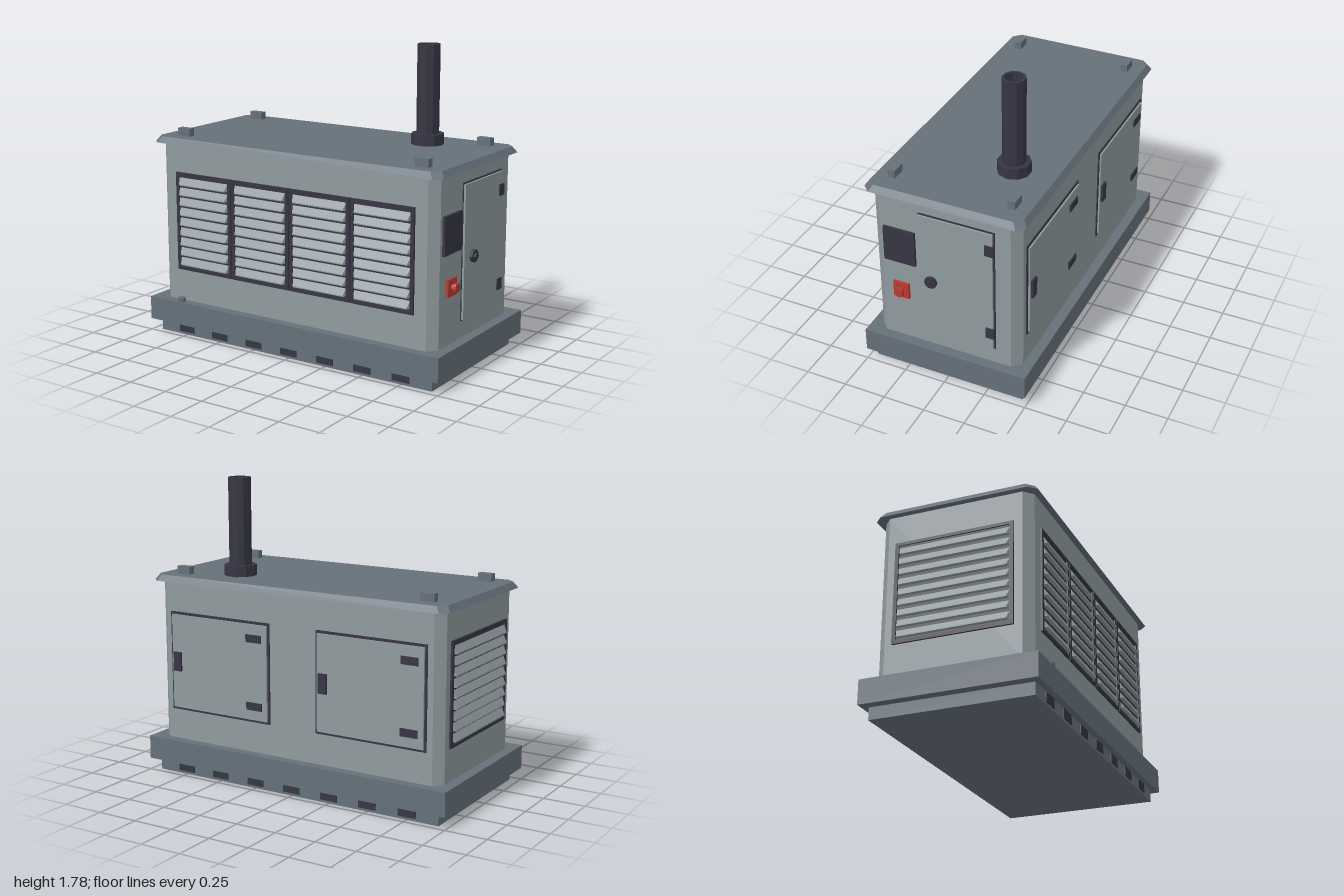
import * as THREE from 'three';

const mat = (name, color) => {
  const m = new THREE.MeshStandardMaterial({ color });
  m.name = name;
  return m;
};

export function createModel() {
  const paint = mat('light grey paint', 0x909a9e);
  const steel = mat('slate grey steel', 0x65707a);
  const dark = mat('dark trim', 0x363543);
  const red = mat('stop red', 0xb83a32);

  const model = new THREE.Group();
  model.name = 'generatorSet';

  const add = (parent, name, geometry, material, x = 0, y = 0, z = 0) => {
    const mesh = new THREE.Mesh(geometry, material);
    mesh.name = name;
    mesh.position.set(x, y, z);
    parent.add(mesh);
    return mesh;
  };
  const box = (parent, name, material, w, h, d, x, y, z) =>
    add(parent, name, new THREE.BoxGeometry(w, h, d), material, x, y, z);

  // Upright prism with cut corners; the top can be pulled in by an inset
  function cutCornerPrism(hx, hz, cut, height, inset = 0) {
    const outline = [
      [hx - cut, -hz], [hx, cut - hz], [hx, hz - cut], [hx - cut, hz],
      [cut - hx, hz], [-hx, hz - cut], [-hx, cut - hz], [cut - hx, -hz],
    ].map(([x, z]) => new THREE.Vector2(x, z));
    const geo = new THREE.ExtrudeGeometry(new THREE.Shape(outline), { depth: height, bevelEnabled: false });
    geo.rotateX(-Math.PI / 2);
    const p = geo.attributes.position;
    for (let i = 0; i < p.count; i++) {
      if (p.getY(i) > height / 2) {
        p.setX(i, p.getX(i) * (1 - inset / hx));
        p.setZ(i, p.getZ(i) * (1 - inset / hz));
      }
    }
    geo.computeVertexNormals();
    return geo;
  }

  // Faceted turned part, with a corner of the polygon on the x axis
  function turned(points, sides) {
    const geo = new THREE.LatheGeometry(points.map(([r, y]) => new THREE.Vector2(r, y)), sides)
      .rotateY(Math.PI / 2).toNonIndexed();
    geo.computeVertexNormals();
    return geo;
  }

  // Skid base, with pockets along both long sides
  box(model, 'skid', steel, 1.888, 0.075, 0.924, 0, 0.0375, 0);
  box(model, 'baseTray', steel, 2, 0.14, 1, 0, 0.14, 0);
  for (const side of [-1, 1]) {
    for (let i = -3; i <= 3; i++) {
      box(model, 'skidPocket', dark, 0.112, 0.055, 0.008, i * 0.25, 0.0425, side * 0.462);
    }
  }
  add(model, 'drainCap', new THREE.CylinderGeometry(0.025, 0.025, 0.025, 10), steel, -0.775, 0.2225, 0.475);

  // Enclosure and roof
  add(model, 'enclosure', cutCornerPrism(0.94, 0.441, 0.05, 0.96), paint, 0, 0.21, 0);
  add(model, 'roof', cutCornerPrism(0.977, 0.478, 0.045, 0.036, 0.024), steel, 0, 1.166, 0);
  for (const x of [-0.81, 0.81]) {
    for (const z of [-0.355, 0.355]) box(model, 'liftingLug', steel, 0.087, 0.046, 0.042, x, 1.225, z);
  }

  // Exhaust: collar and open pipe
  const exhaust = new THREE.Group();
  exhaust.name = 'exhaust';
  exhaust.position.set(0.512, 1.2, -0.213);
  model.add(exhaust);
  add(exhaust, 'exhaustCollar', turned([[0.095, 0], [0.095, 0.066], [0.06, 0.066]], 10), dark);
  add(exhaust, 'exhaustPipe', turned([[0.066, 0], [0.066, 0.578], [0.05, 0.578], [0.05, 0.4], [0, 0.4]], 10), dark);

  // Wall groups: local z points out of the wall, local x runs along it
  const wall = (name, x, z, turn) => {
    const g = new THREE.Group();
    g.name = name;
    g.position.set(x, 0, z);
    g.rotation.y = turn;
    model.add(g);
    return g;
  };
  const front = wall('frontWall', 0, 0.441, 0);
  const back = wall('backWall', 0, -0.441, Math.PI);
  const right = wall('controlWall', 0.94, 0, Math.PI / 2);
  const left = wall('intakeWall', -0.94, 0, -Math.PI / 2);

  // Sloping louvre slat: flush at the top, projecting at its lower edge
  function slatGeometry(w, h, d) {
    const geo = new THREE.BoxGeometry(w, h, d).translate(0, 0, d / 2);
    const p = geo.attributes.position;
    for (let i = 0; i < p.count; i++) {
      if (p.getZ(i) > d / 2) {
        p.setX(i, p.getX(i) - Math.sign(p.getX(i)) * 0.011);
        if (p.getY(i) > 0) p.setY(i, -h / 2 + 0.006);
      }
    }
    geo.computeVertexNormals();
    return geo;
  }

  function louvre(parent, x, w) {
    const g = new THREE.Group();
    g.name = 'louvre';
    g.position.set(x, 0.7, 0);
    parent.add(g);
    const h = 0.595;
    box(g, 'louvreBacking', dark, w, h, 0.004, 0, 0, 0.002);
    for (const s of [-1, 1]) {
      box(g, 'louvreFrameSide', dark, 0.022, h, 0.012, s * (w / 2 - 0.011), 0, 0.006);
      box(g, 'louvreFrameEdge', dark, w, 0.018, 0.012, 0, s * (h / 2 - 0.009), 0.006);
    }
    const slat = slatGeometry(w - 0.044, 0.045, 0.022);
    for (let i = -4; i <= 4; i++) add(g, 'louvreSlat', slat, paint, 0, i * 0.061, 0.004);
  }
  for (let i = 0; i < 4; i++) louvre(front, (i - 1.5) * 0.409, 0.403);
  louvre(left, 0, 0.69);

  // Rear service doors
  for (const x of [-0.505, 0.505]) {
    const door = new THREE.Group();
    door.name = 'serviceDoor';
    door.position.set(x, 0.69, 0);
    back.add(door);
    box(door, 'doorSeal', dark, 0.7, 0.595, 0.006, 0, 0, 0.003);
    box(door, 'doorPanel', paint, 0.672, 0.565, 0.016, 0, 0, 0.008);
    box(door, 'doorLatch', dark, 0.052, 0.115, 0.014, -0.295, 0, 0.022);
    for (const y of [-0.2, 0.2]) box(door, 'doorHinge', dark, 0.105, 0.045, 0.01, 0.25, y, 0.019);
  }

  // Control side: access door with hinges and knob
  box(right, 'accessDoorSeal', dark, 0.452, 0.78, 0.006, 0.074, 0.7, 0.003);
  box(right, 'accessDoorPanel', paint, 0.44, 0.764, 0.018, 0.071, 0.7, 0.009);
  for (const y of [0.423, 0.977]) box(right, 'accessDoorHinge', dark, 0.052, 0.066, 0.012, 0.274, y, 0.02);
  const knob = add(right, 'doorKnob',
    turned([[0.022, 0], [0.022, 0.012], [0.036, 0.012], [0.036, 0.03], [0.018, 0.03], [0.018, 0.041], [0, 0.041]], 10),
    dark, -0.073, 0.672, 0.016);
  knob.rotation.x = Math.PI / 2;

  // Control screen and emergency stop
  box(right, 'controlScreen', dark, 0.192, 0.218, 0.016, -0.273, 0.838, 0.008);
  box(right, 'stopPlate', red, 0.096, 0.098, 0.016, -0.274, 0.539, 0.008);
  const stop = add(right, 'stopButton',
    turned([[0.018, 0], [0.018, 0.014], [0.028, 0.018], [0.028, 0.034], [0, 0.034]], 12),
    red, -0.274, 0.539, 0.014);
  stop.rotation.x = Math.PI / 2;

  return model;
}
